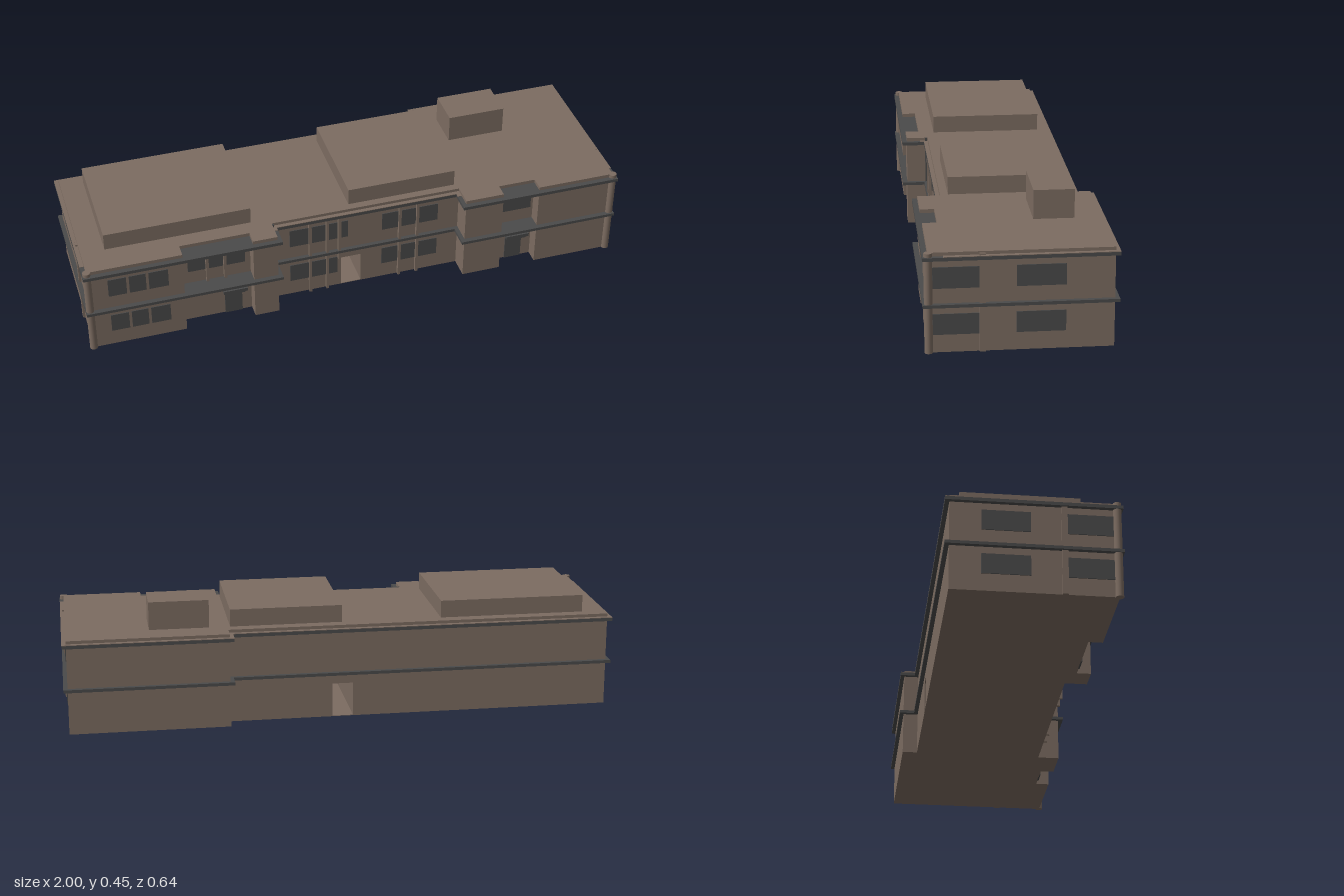
import * as THREE from 'three';

const brick = new THREE.MeshStandardMaterial({ color: 0x7c6c61 });
brick.name = 'brown wall';
const dark = new THREE.MeshStandardMaterial({ color: 0x4a4a4a });
dark.name = 'dark grey';

export function createModel() {
  const model = new THREE.Group();
  model.name = 'building';

  const add = (name, geometry, material) => {
    const mesh = new THREE.Mesh(geometry, material);
    mesh.name = name;
    model.add(mesh);
    return mesh;
  };
  // Box given by its limits on each axis
  const box = (name, material, x0, x1, y0, y1, z0, z1) => {
    const g = new THREE.BoxGeometry(x1 - x0, y1 - y0, z1 - z0);
    g.translate((x0 + x1) / 2, (y0 + y1) / 2, (z0 + z1) / 2);
    return add(name, g, material);
  };
  // Floor plan of [x, z] points raised from y0 to y1
  const slab = (name, material, points, y0, y1) => {
    const shape = new THREE.Shape(points.map(([x, z]) => new THREE.Vector2(x, z)));
    const g = new THREE.ExtrudeGeometry(shape, { depth: y1 - y0, bevelEnabled: false });
    g.rotateX(Math.PI / 2).translate(0, y1, 0);
    return add(name, g, material);
  };

  const FRONT = 0.305, MID = 0.225, RECESS = 0.255, SIDE = 0.985;
  // Front edge of each wing, with or without the entrance recess
  const leftFront = [[-0.3, MID], [-0.3, FRONT], [-0.39, FRONT], [-0.39, RECESS],
    [-0.645, RECESS], [-0.645, FRONT], [-SIDE, FRONT]];
  const rightFront = [[SIDE, FRONT], [0.695, FRONT], [0.695, RECESS],
    [0.555, RECESS], [0.555, FRONT], [0.41, FRONT], [0.41, MID]];
  const rightBack = [[0.41, -0.25], [0.41, -0.305], [SIDE, -0.305]];

  // Walls: two ground-floor blocks with a passage between, and the block above
  const passage = [-0.04, 0.035], passageTop = 0.125;
  slab('leftGroundFloor', brick,
    [[-SIDE, -0.25], [passage[0], -0.25], [passage[0], MID], ...leftFront], 0, passageTop);
  slab('rightGroundFloor', brick,
    [[passage[1], -0.25], ...rightBack, ...rightFront, [passage[1], MID]], 0, passageTop);
  slab('upperWalls', brick,
    [[-SIDE, -0.25], ...rightBack, ...rightFront, ...leftFront], passageTop, 0.345);
  box('passageFloor', brick, ...passage, 0, 0.002, -0.25, MID);

  // Dark bands run straight past the recesses
  const outline = (out, front) => [
    [-SIDE - out, -0.25 - out], [0.41 - out, -0.25 - out], [0.41 - out, -0.305 - out],
    [SIDE + out, -0.305 - out], [SIDE + out, front], [0.41 - out, front],
    [0.41 - out, MID + out], [-0.3 + out, MID + out], [-0.3 + out, front], [-SIDE - out, front]];
  slab('floorBand', dark, outline(0.015, 0.323), 0.159, 0.17);
  slab('roofBand', dark, outline(0.015, 0.323), 0.32, 0.332);
  // Brown top of the roof band
  slab('roofEdge', brick, outline(0.015, RECESS), 0.332, 0.334);

  // Flat rooftop blocks
  box('roofBlockLeft', brick, -0.9, -0.37, 0.344, 0.408, -0.21, 0.197);
  box('roofBlockMiddle', brick, -0.005, 0.4, 0.344, 0.408, -0.21, 0.197);
  box('roofBlockRight', brick, 0.475, 0.69, 0.344, 0.447, -0.21, -0.07);

  // Front windows: [x0, x1, wall z]
  const LOW = [0.062, 0.134], HIGH = [0.222, 0.295];
  const bothFloors = [
    [-0.915, -0.85, FRONT], [-0.84, -0.78, FRONT], [-0.77, -0.7, FRONT],
    [-0.235, -0.165, MID], [-0.155, -0.1, MID], [-0.09, -0.055, MID],
    [0.115, 0.178, MID], [0.186, 0.245, MID], [0.256, 0.33, MID]];
  const upperOnly = [
    [-0.62, -0.556, RECESS], [-0.544, -0.491, RECESS], [-0.479, -0.41, RECESS],
    [-0.04, -0.015, MID], [0.56, 0.685, RECESS]];
  const frontWindow = ([x0, x1, z], [y0, y1]) =>
    box('frontWindow', dark, x0, x1, y0, y1, z - 0.002, z + 0.003);
  for (const w of bothFloors) { frontWindow(w, LOW); frontWindow(w, HIGH); }
  for (const w of upperOnly) frontWindow(w, HIGH);

  // Both ends: windows, a pilaster and a round front corner post
  for (const s of [-1, 1]) {
    const x = s * SIDE;
    for (const [y0, y1] of [LOW, HIGH])
      for (const [z0, z1] of [[0.138, 0.29], [-0.145, 0.017]])
        box('sideWindow', dark, x - 0.003, x + 0.003, y0, y1, z0, z1);
    box('sidePilaster', brick, x - 0.008, x + 0.008, 0, 0.34, 0.118, 0.138);
    add('cornerPost', new THREE.CylinderGeometry(0.014, 0.014, 0.345, 16), brick)
      .position.set(x, 0.1725, 0.304);
  }

  // Slim pilasters between the window panes
  for (const x of [-0.16, -0.095, -0.05, 0.182, 0.25])
    box('pilaster', brick, x - 0.005, x + 0.005, x === -0.05 ? 0.13 : 0, 0.33, MID - 0.002, MID + 0.012);
  for (const x of [-0.55, -0.485])
    box('recessPilaster', brick, x - 0.005, x + 0.005, 0.165, 0.33, RECESS - 0.002, RECESS + 0.012);
  box('downpipe', dark, -0.3, -0.294, 0.15, 0.345, 0.228, 0.235);

  // Entrance doors with stepped canopies
  for (const x of [-0.458, 0.625]) {
    box('door', dark, x - 0.032, x + 0.032, 0, 0.112, RECESS - 0.002, RECESS + 0.004);
    box('canopyBase', dark, x - 0.037, x + 0.037, 0.108, 0.12, RECESS - 0.002, RECESS + 0.035);
    box('canopy', dark, x - 0.044, x + 0.044, 0.12, 0.133, RECESS - 0.002, RECESS + 0.045);
  }
  return model;
}
